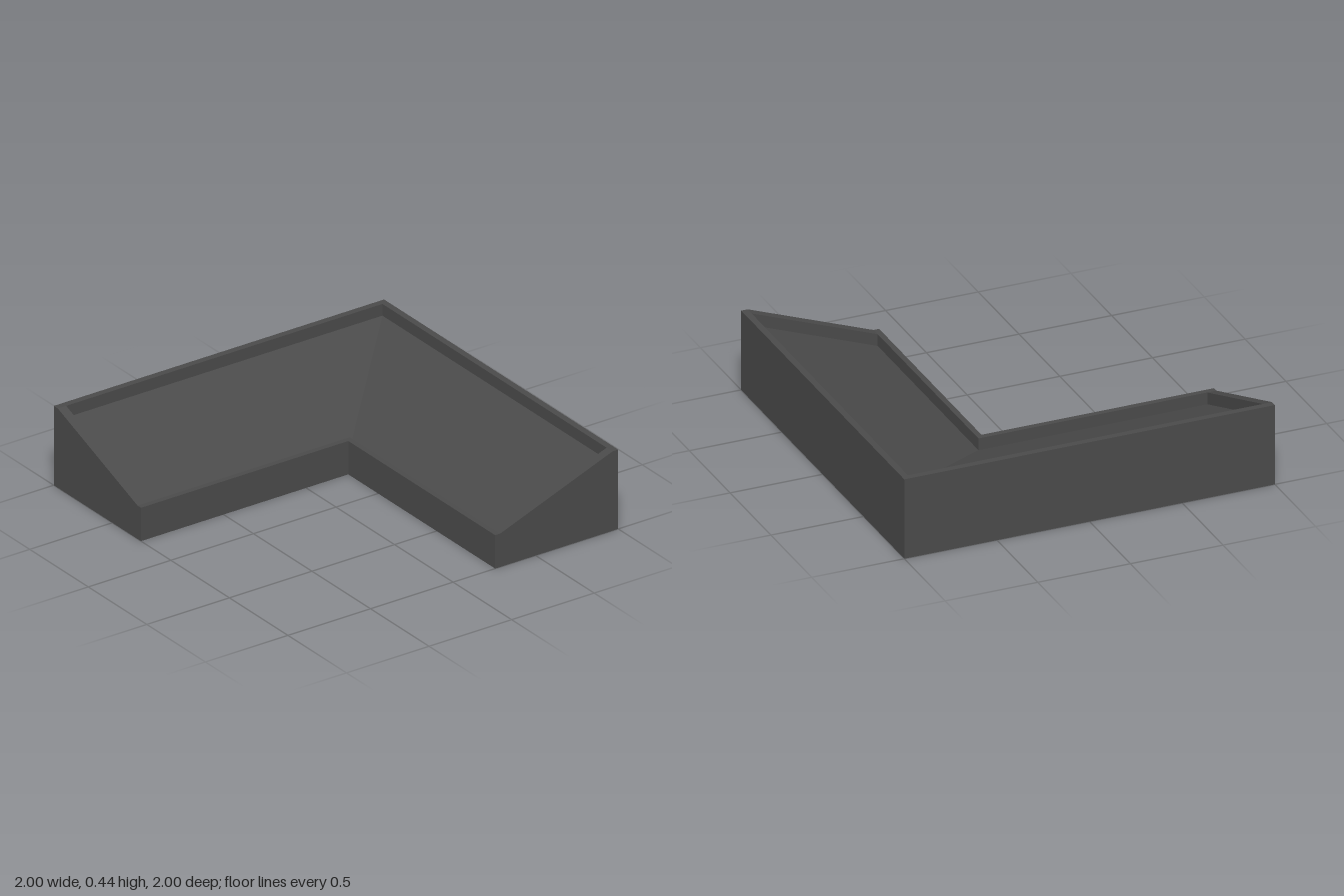
import * as THREE from 'three';

// Profile across one arm: [distance from the back edge, height]
const backBottom = [0, 0], backTop = [0, 0.44], rimBack = [0.035, 0.44];
const trayBack = [0.035, 0.375], trayFront = [0.715, 0.12];
const rimFront = [0.715, 0.185], frontTop = [0.745, 0.185], frontBottom = [0.745, 0];
const END = 1, INNER_END = 0.95;

// A flat strip along the arm between two profile points; it starts at the mitre by default
function strip(p, q, end, start) {
  const at = (point, t) => [point[0], point[1], t];
  const s = (point) => start ?? point[0] - 1;
  return [at(p, s(p)), at(p, end), at(q, end), at(q, s(q))];
}

// A flat face across the arm at length t
const across = (points, t) => points.map(([d, y]) => [d, y, t]);

// Turns polygons into a flat-shaded geometry; the back arm is the side arm reflected across the mitre
function buildGeometry(faces, reflected) {
  const positions = [];
  for (const face of faces) {
    for (let i = 1; i < face.length - 1; i++) {
      const tri = [face[0], face[i], face[i + 1]];
      if (reflected) tri.reverse();
      for (const [d, y, t] of tri) {
        positions.push(...(reflected ? [t, y, d - 1] : [d - 1, y, t]));
      }
    }
  }
  const geometry = new THREE.BufferGeometry();
  geometry.setAttribute('position', new THREE.Float32BufferAttribute(positions, 3));
  geometry.computeVertexNormals();
  return geometry;
}

export function createModel() {
  const darkGrey = new THREE.MeshStandardMaterial({ color: 0x4a4a4a });
  darkGrey.name = 'darkGrey';

  const parts = {
    // Outer walls, underside and sloping end panel
    casing: [
      strip(backBottom, backTop, END),
      strip(frontTop, frontBottom, END),
      strip(frontBottom, backBottom, END),
      across([backBottom, frontBottom, frontTop, rimFront, rimBack, backTop], END),
    ],
    // Top edges around the tray
    rim: [
      strip(backTop, rimBack, END),
      strip(rimFront, frontTop, END),
      strip(rimBack, rimFront, END, INNER_END),
    ],
    // Sunken sloping panel
    trayFloor: [strip(trayBack, trayFront, INNER_END)],
    // Low walls around the sunken panel
    trayWalls: [
      strip(rimBack, trayBack, INNER_END),
      strip(trayFront, rimFront, INNER_END),
      across([trayBack, rimBack, rimFront, trayFront], INNER_END),
    ],
  };

  const model = new THREE.Group();
  model.name = 'cornerTray';
  for (const reflected of [false, true]) {
    const arm = new THREE.Group();
    arm.name = reflected ? 'backArm' : 'sideArm';
    for (const [name, faces] of Object.entries(parts)) {
      const mesh = new THREE.Mesh(buildGeometry(faces, reflected), darkGrey);
      mesh.name = name;
      arm.add(mesh);
    }
    model.add(arm);
  }
  return model;
}
